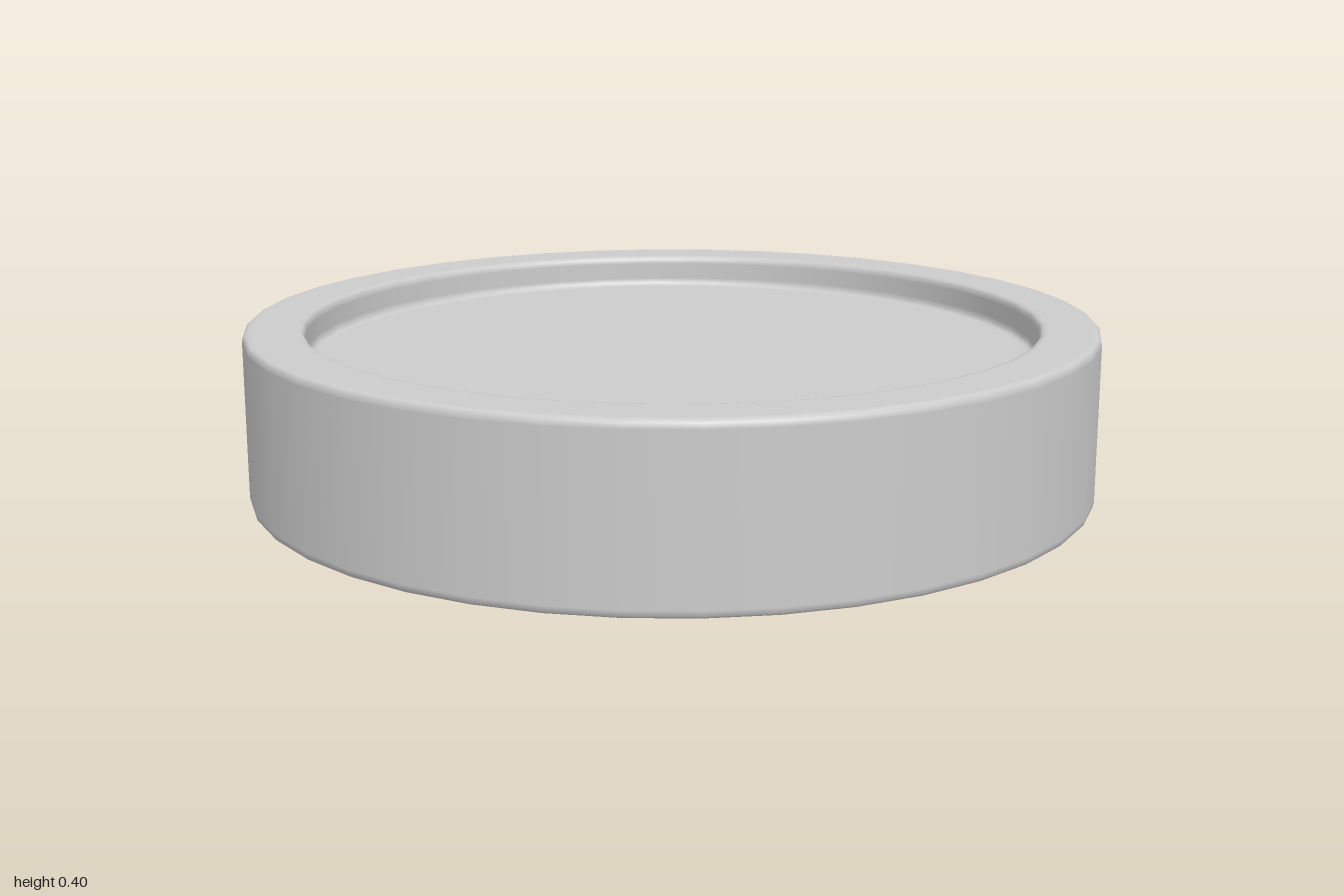
import * as THREE from 'three';

const SEGMENTS = 40;
const HEIGHT = 0.4;
const RECESS = 0.08;
const RIM = 0.86; // inner radius of the raised rim
const FILLET = 0.016;

// Rounds each inner corner of a profile; guard points keep the flats flat when shaded.
function roundedProfile(corners, radius, steps = 3) {
  const out = [corners[0]];
  for (let i = 1; i < corners.length - 1; i++) {
    const c = corners[i];
    const toPrev = corners[i - 1].clone().sub(c).normalize();
    const toNext = corners[i + 1].clone().sub(c).normalize();
    const at = (dir, d) => c.clone().addScaledVector(dir, d);
    const arc = new THREE.QuadraticBezierCurve(at(toPrev, radius), c, at(toNext, radius));
    out.push(at(toPrev, radius * 1.2), ...arc.getPoints(steps), at(toNext, radius * 1.2));
  }
  out.push(corners[corners.length - 1]);
  return out;
}

export function createModel() {
  const group = new THREE.Group();
  group.name = 'disc';

  // Half section: underside recess, rim, outer wall, top rim, top recess
  const section = [
    [0, RECESS], [RIM, RECESS], [RIM, 0], [1, 0],
    [1, HEIGHT], [RIM, HEIGHT], [RIM, HEIGHT - RECESS], [0, HEIGHT - RECESS],
  ].map(([x, y]) => new THREE.Vector2(x, y));

  const body = new THREE.Mesh(
    new THREE.LatheGeometry(roundedProfile(section, FILLET), SEGMENTS),
    new THREE.MeshStandardMaterial({ color: 0xcccccc }),
  );
  body.name = 'recessedDiscBody';
  group.add(body);
  return group;
}
